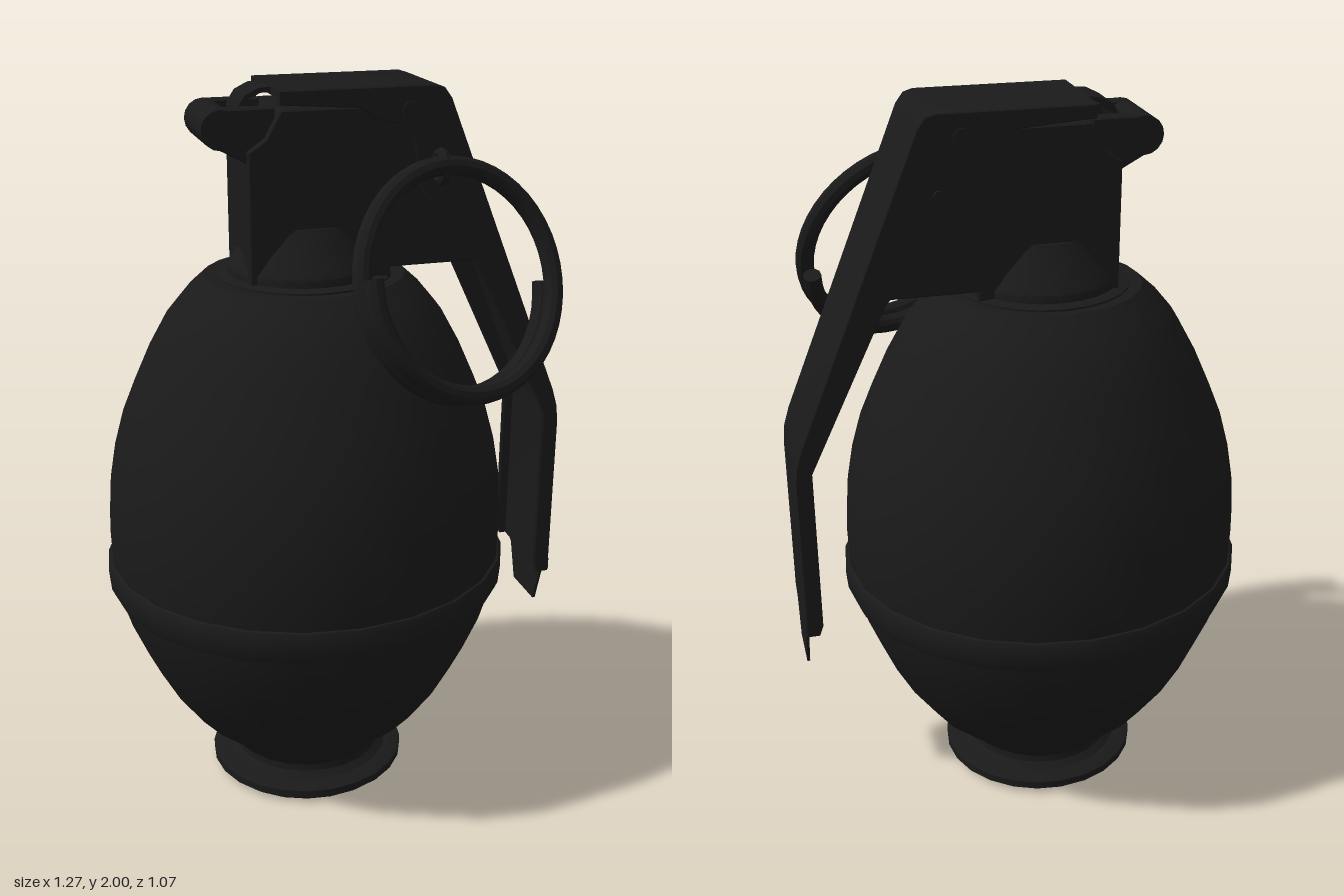
import * as THREE from 'three';
import { toCreasedNormals } from 'three/addons/utils/BufferGeometryUtils.js';

const AXIS_X = -0.07;

export function createModel() {
  const model = new THREE.Group();
  const material = new THREE.MeshStandardMaterial({ color: 0x1a1a1a, side: THREE.DoubleSide });

  const add = (name, geometry, x = 0, y = 0, z = 0, parent = model) => {
    const mesh = new THREE.Mesh(toCreasedNormals(geometry, 0.6), material);
    mesh.name = name;
    mesh.position.set(x, y, z);
    parent.add(mesh);
    return mesh;
  };
  const lathe = (name, points, zScale) => add(name,
    new THREE.LatheGeometry(points.map(p => new THREE.Vector2(...p)), 24).scale(1, 1, zScale), AXIS_X);
  // side profile in x and y, extruded from z0 to z1 with a small bevel
  const slab = (name, points, z0, z1, parent, bevel = 0.004) => {
    const geometry = new THREE.ExtrudeGeometry(new THREE.Shape(points.map(p => new THREE.Vector2(...p))), {
      depth: z1 - z0 - 2 * bevel, bevelEnabled: bevel > 0, bevelSize: bevel,
      bevelThickness: bevel, bevelOffset: -bevel, bevelSegments: 1,
    });
    return add(name, geometry, 0, 0, z0 + bevel, parent);
  };
  const rod = (name, radius, length, x, y, z, parent) =>
    add(name, new THREE.CylinderGeometry(radius, radius, length, 16).rotateX(Math.PI / 2), x, y, z, parent);

  // egg-shaped body, with a raised band around it
  lathe('body', [[0.21, 0.06], [0.215, 0.08], [0.24, 0.115], [0.345, 0.21], [0.415, 0.31], [0.468, 0.41],
    [0.51, 0.51], [0.54, 0.61], [0.553, 0.71], [0.556, 0.82], [0.548, 0.92], [0.53, 1.02], [0.502, 1.12],
    [0.465, 1.21], [0.42, 1.31], [0.37, 1.4], [0.32, 1.46], [0.27, 1.505], [0, 1.505]], 0.947);
  lathe('band', [[0.53, 0.61], [0.553, 0.615], [0.562, 0.635], [0.567, 0.69], [0.56, 0.705], [0.54, 0.712]], 0.943);
  // flared foot, hollow underneath
  lathe('foot', [[0, 0.06], [0.19, 0.06], [0.24, 0.01], [0.25, 0], [0.262, 0], [0.283, 0.018], [0.283, 0.04],
    [0.27, 0.046], [0.235, 0.048], [0.217, 0.065], [0.215, 0.085]], 0.972);
  // sloped collar below the head
  lathe('collar', [[0.235, 1.5], [0.235, 1.51], [0.205, 1.515], [0.205, 1.535], [0.195, 1.55],
    [0.14, 1.65], [0, 1.65]], 0.98);

  // head under the lever
  const head = new THREE.Group();
  head.name = 'head';
  model.add(head);
  slab('headBlock', [[-0.245, 1.51], [0.13, 1.51], [0.13, 1.535], [0.36, 1.535], [0.37, 1.56], [0.25, 1.86],
    [0.22, 1.95], [-0.16, 1.95], [-0.2, 1.88], [-0.245, 1.85]], -0.125, 0.125, head);

  // hinge bar with two arms at the end of the head
  rod('hingeBar', 0.05, 0.21, -0.308, 1.905, 0, head);
  for (const side of [-1, 1]) {
    slab('hingeArm', [[-0.31, 1.855], [-0.245, 1.82], [-0.17, 1.82], [-0.17, 1.955], [-0.31, 1.955]],
      side * 0.083 - 0.022, side * 0.083 + 0.022, head);
  }

  // lever: bent top plate, two side flanges, a hook and a tapered tip
  const lever = new THREE.Group();
  lever.name = 'lever';
  model.add(lever);
  const outer = [[-0.17, 2], [0.235, 2], [0.26, 1.992], [0.28, 1.965], [0.61, 1.15], [0.625, 1.1], [0.63, 1.05], [0.63, 0.58]];
  const inner = [[0.612, 0.58], [0.612, 1.05], [0.594, 1.14], [0.262, 1.96], [0.235, 1.98], [-0.17, 1.98]];
  slab('leverPlate', [...outer, ...inner], -0.145, 0.145, lever);
  const flange = [...outer, [0.595, 0.58], [0.584, 0.61], [0.584, 1.08], [0.37, 1.53], [0.29, 1.62], [0.2, 1.75],
    [0.185, 1.86], [0.15, 1.905], [0.08, 1.92], [0.04, 1.95], [-0.17, 1.965]];
  for (const side of [-1, 1]) {
    slab('leverFlange', flange, side * 0.137 - 0.008, side * 0.137 + 0.008, lever, 0.003);
  }
  slab('leverHook', [[-0.16, 2], [-0.2, 1.997], [-0.235, 1.98], [-0.255, 1.95], [-0.26, 1.91], [-0.25, 1.91],
    [-0.245, 1.945], [-0.228, 1.97], [-0.195, 1.985], [-0.16, 1.985]], -0.06, 0.06, lever, 0);
  const tip = new THREE.Shape([[-0.145, 0.62], [-0.145, 0.585], [-0.105, 0.56], [-0.07, 0.452],
    [0.07, 0.452], [0.105, 0.56], [0.145, 0.585], [0.145, 0.62]].map(p => new THREE.Vector2(...p)));
  add('leverTip', new THREE.ExtrudeGeometry(tip, { depth: 0.008, bevelEnabled: false }).rotateY(Math.PI / 2),
    0.622, 0, 0, lever);
  rod('leverPivot', 0.022, 0.302, 0.17, 1.94, 0, lever);

  // cross pin with an eye that holds the ring
  const pin = new THREE.Group();
  pin.name = 'pin';
  model.add(pin);
  rod('pinShaft', 0.014, 0.34, 0.23, 1.8, 0.015, pin);
  add('pinEye', new THREE.TorusGeometry(0.034, 0.014, 8, 18).rotateY(Math.PI / 2), 0.23, 1.808, 0.212, pin);

  // tilted split ring: one and a half turns of wire
  const coil = [];
  const steps = 48;
  for (let i = 0; i <= steps; i++) {
    const t = i / steps;
    const angle = Math.PI * (0.97 + 3 * t);
    coil.push(new THREE.Vector3(0.288 * Math.cos(angle), 0.288 * Math.sin(angle), 0.036 - 0.072 * t));
  }
  const ring = new THREE.Group();
  ring.name = 'pullRing';
  ring.position.set(0.245, 1.545, 0.335);
  ring.quaternion.setFromUnitVectors(new THREE.Vector3(0, 0, 1), new THREE.Vector3(0.31, 0.38, 1).normalize());
  model.add(ring);
  add('ringWire', new THREE.TubeGeometry(new THREE.CatmullRomCurve3(coil), 72, 0.025, 10), 0, 0, 0, ring);
  // flat ends of the wire
  for (const [end, next] of [[coil[0], coil[1]], [coil[steps], coil[steps - 1]]]) {
    const cap = add('ringEnd', new THREE.CircleGeometry(0.025, 10), end.x, end.y, end.z, ring);
    cap.quaternion.setFromUnitVectors(new THREE.Vector3(0, 0, 1), end.clone().sub(next).normalize());
  }
  return model;
}
